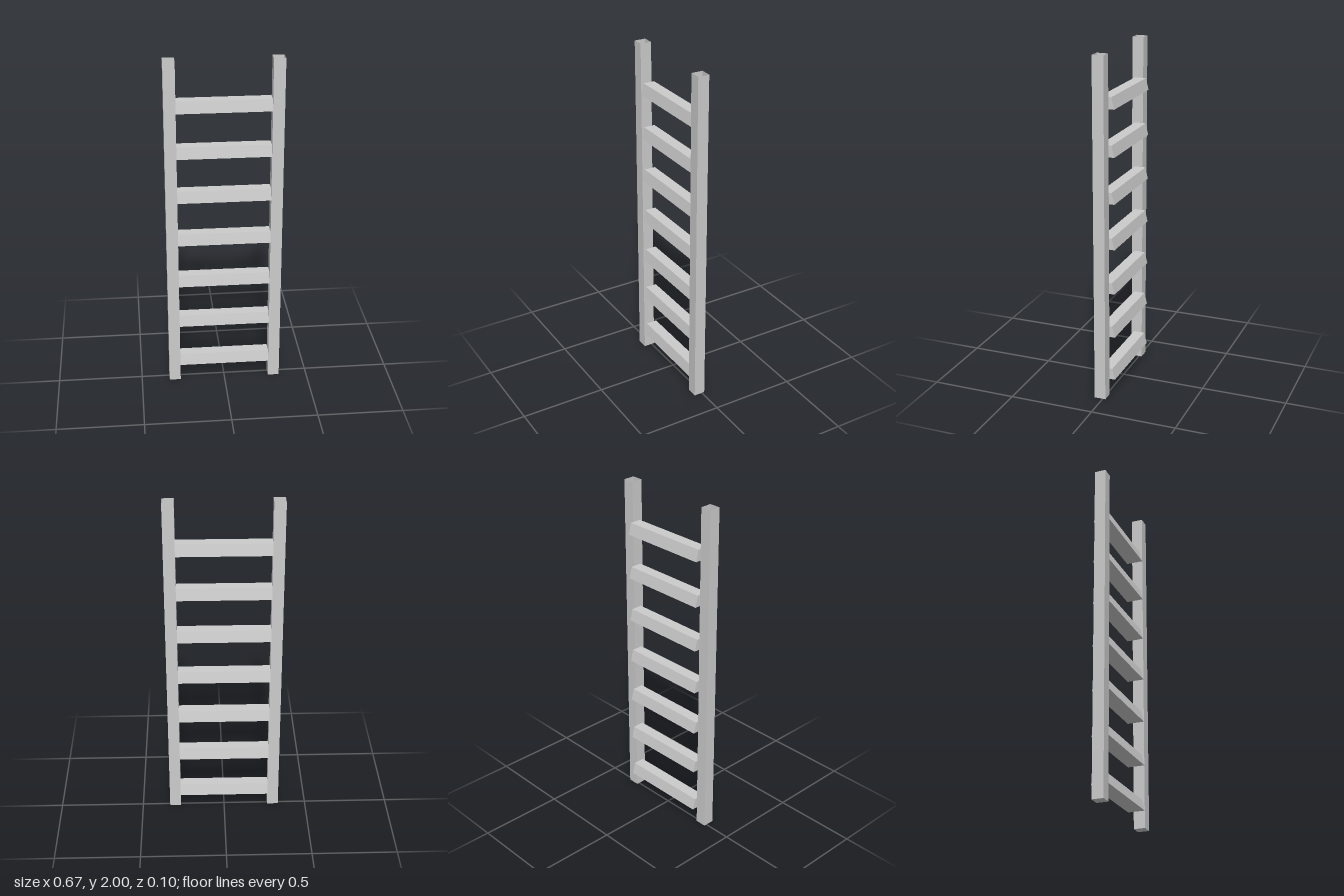
import * as THREE from 'three';

const UNIT = 1 / 30;
const RAIL = 2 * UNIT;        // square rail width
const RUNG_LENGTH = 16 * UNIT;
const RUNG_COUNT = 7;

// Square tube, closed at the foot and open at the top
function railGeometry() {
  const geometry = new THREE.BoxGeometry(RAIL, 2, RAIL);
  const index = Array.from(geometry.index.array);
  index.splice(12, 6); // the top face is the third of the six box faces
  geometry.setIndex(index);
  geometry.clearGroups();
  return geometry;
}

// Trapezoid bar along x, wider at its underside
function rungGeometry() {
  const section = new THREE.Shape([
    new THREE.Vector2(-1.5 * UNIT, 0),
    new THREE.Vector2(1.5 * UNIT, 0),
    new THREE.Vector2(UNIT, 2 * UNIT),
    new THREE.Vector2(-UNIT, 2 * UNIT),
  ]);
  const geometry = new THREE.ExtrudeGeometry(section, { depth: RUNG_LENGTH, bevelEnabled: false });
  geometry.translate(0, 0, -RUNG_LENGTH / 2);
  geometry.rotateY(Math.PI / 2);
  return geometry;
}

export function createModel() {
  const ladder = new THREE.Group();
  ladder.name = 'ladder';
  const solid = new THREE.MeshStandardMaterial({ color: 0xcccccc, flatShading: true });
  const open = new THREE.MeshStandardMaterial({ color: 0xcccccc, flatShading: true, side: THREE.DoubleSide });

  // Side rails, flush with the front of the rungs
  const railShape = railGeometry();
  for (const side of [-1, 1]) {
    const rail = new THREE.Mesh(railShape, open);
    rail.name = side > 0 ? 'leftRail' : 'rightRail';
    rail.position.set(side * 9 * UNIT, 1, 0.5 * UNIT);
    ladder.add(rail);
  }

  // Evenly spaced rungs
  const rungShape = rungGeometry();
  for (let i = 0; i < RUNG_COUNT; i++) {
    const rung = new THREE.Mesh(rungShape, solid);
    rung.name = `rung${i + 1}`;
    rung.position.y = (3 + 8 * i) * UNIT;
    ladder.add(rung);
  }
  return ladder;
}
